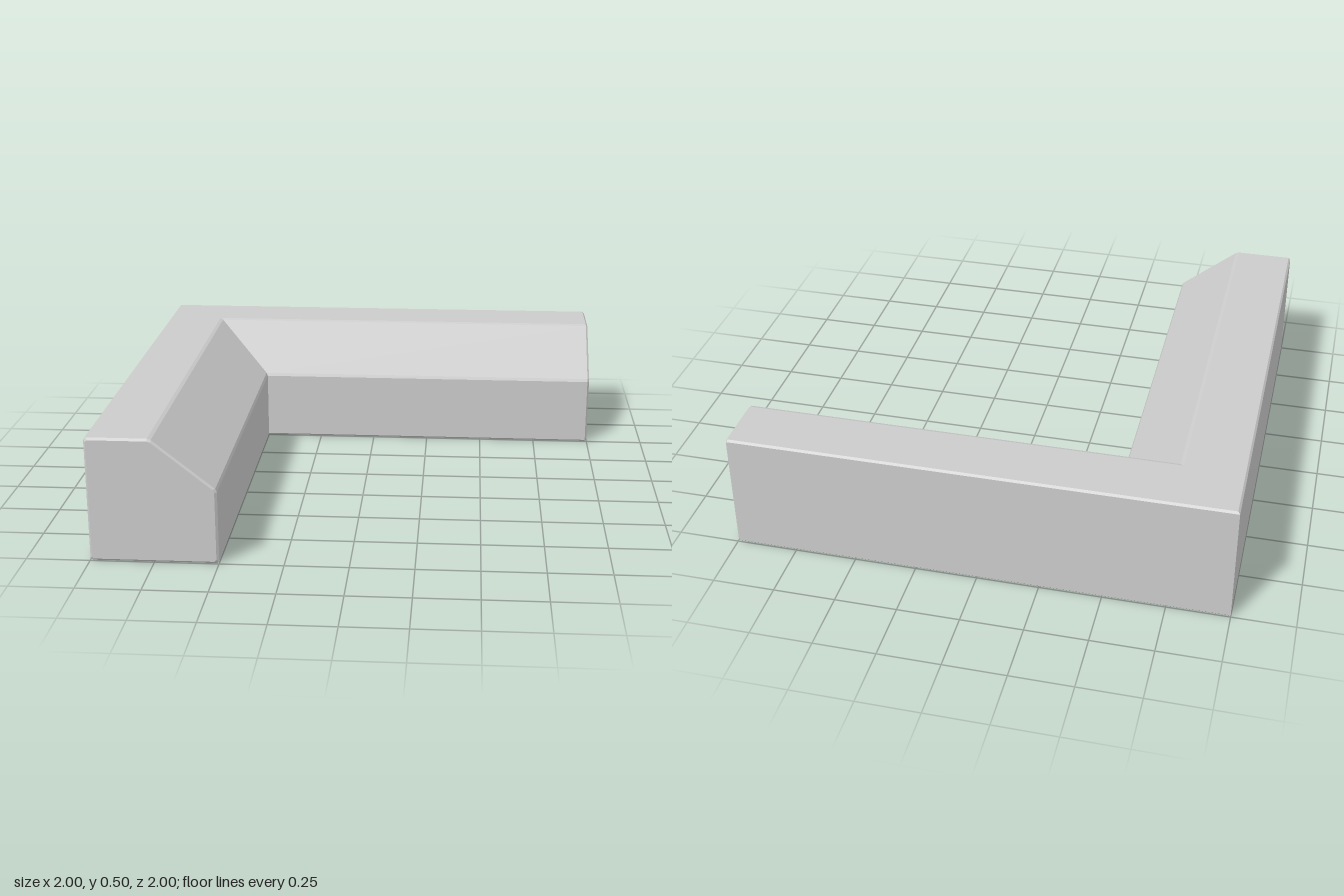
import * as THREE from 'three';

const BEVEL = 0.008;

// Cross-section: d is the distance in from the outer wall, y is height.
const corners = [[0, 0], [0.5, 0], [0.5, 0.3], [0.25, 0.5], [0, 0.5]]
  .map(([d, y]) => new THREE.Vector2(d, y));

// Cut every corner slightly so the long edges are softened.
function softenedProfile() {
  const n = corners.length;
  const step = (from, to) => to.clone().sub(from).setLength(BEVEL).add(from);
  return corners.flatMap((p, i) => [
    step(p, corners[(i + n - 1) % n]),
    step(p, corners[(i + 1) % n]),
  ]);
}

// Sweep the section round a mitred right-angle corner.
function mitredWall() {
  const profile = softenedProfile();
  const centre = new THREE.Vector2(0.23, 0.24);
  const inset = profile.map((p) => p.clone().lerp(centre, BEVEL / 0.23));
  const sideArm = (z) => (p) => [-1 + p.x, p.y, z];
  const backArm = (x) => (p) => [x, p.y, -1 + p.x];
  const rings = [
    inset.map(sideArm(1)),
    profile.map(sideArm(1 - BEVEL)),
    profile.map((p) => [-1 + p.x, p.y, -1 + p.x]), // mitre
    profile.map(backArm(1 - BEVEL)),
    inset.map(backArm(1)),
  ];
  const n = profile.length;
  const positions = [];
  const tri = (...pts) => pts.forEach((p) => positions.push(...p));

  // Long faces and end bevels
  for (let i = 0; i < rings.length - 1; i++) {
    for (let j = 0; j < n; j++) {
      const k = (j + 1) % n;
      tri(rings[i][j], rings[i + 1][j], rings[i + 1][k]);
      tri(rings[i][j], rings[i + 1][k], rings[i][k]);
    }
  }
  // End caps
  const first = rings[0];
  const last = rings[rings.length - 1];
  for (let j = 1; j < n - 1; j++) {
    tri(first[0], first[j], first[j + 1]);
    tri(last[0], last[j + 1], last[j]);
  }
  const geometry = new THREE.BufferGeometry();
  geometry.setAttribute('position', new THREE.Float32BufferAttribute(positions, 3));
  geometry.computeVertexNormals();
  return geometry;
}

export function createModel() {
  const group = new THREE.Group();
  group.name = 'cornerCurb';
  const material = new THREE.MeshStandardMaterial({ color: 0xcccccc, flatShading: true });
  const wall = new THREE.Mesh(mitredWall(), material);
  wall.name = 'mitredCurbWall';
  group.add(wall);
  return group;
}
